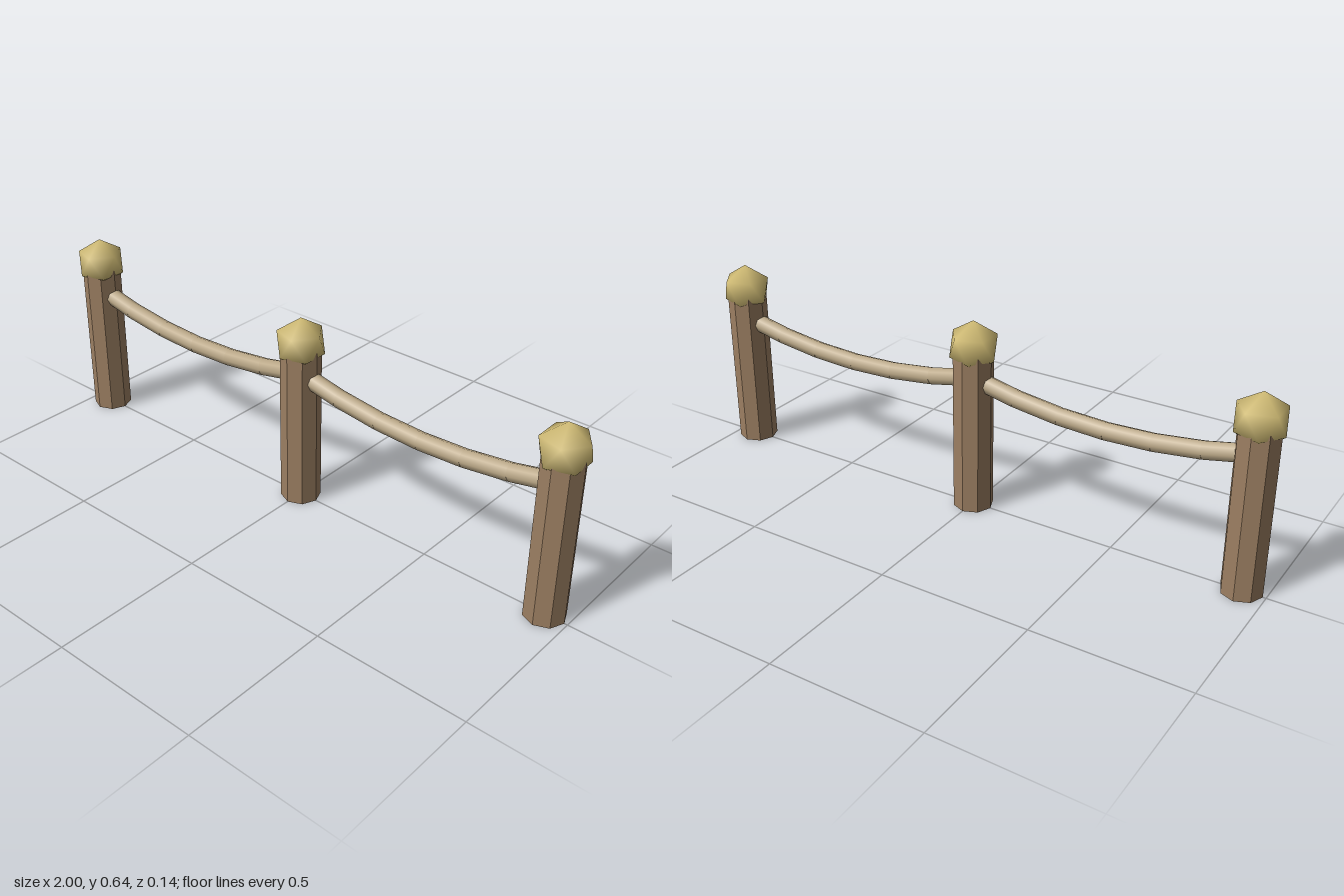
import * as THREE from 'three';
import { mergeVertices } from 'three/addons/utils/BufferGeometryUtils.js';

const SPACING = 0.925;

// Smooth-shaded icosahedron standing on one of its corners
function capGeometry(radius) {
  let geo = new THREE.IcosahedronGeometry(radius, 0);
  geo.rotateZ(-Math.atan(2 / (1 + Math.sqrt(5))));
  geo.deleteAttribute('normal');
  geo.deleteAttribute('uv');
  geo = mergeVertices(geo, 1e-4);
  geo.computeVertexNormals();
  return geo;
}

export function createModel() {
  const group = new THREE.Group();
  const wood = new THREE.MeshStandardMaterial({ color: 0x9c7f62, flatShading: true });
  const gold = new THREE.MeshStandardMaterial({ color: 0xd3be76 });
  const hemp = new THREE.MeshStandardMaterial({ color: 0xb9a685 });

  const add = (parent, name, geo, mat, x, y) => {
    const mesh = new THREE.Mesh(geo, mat);
    mesh.name = name;
    mesh.position.set(x, y, 0);
    parent.add(mesh);
    return mesh;
  };

  // Octagonal posts with faceted caps
  const postHeight = 0.555;
  const postGeo = new THREE.CylinderGeometry(0.065, 0.065, postHeight, 8);
  const capGeo = capGeometry(0.0835);
  ['right', 'middle', 'left'].forEach((side, i) => {
    const x = (i - 1) * SPACING;
    add(group, side + 'Post', postGeo, wood, x, postHeight / 2);
    add(group, side + 'PostCap', capGeo, gold, x, 0.557);
  });

  // Sagging ropes: six straight lengths from post centre to post centre
  const segments = 6;
  const sag = (t) => 0.391 + 0.058 * (2 * t - 1) ** 2;
  ['rightRope', 'leftRope'].forEach((name, i) => {
    const rope = new THREE.Group();
    rope.name = name;
    const x0 = (i - 1) * SPACING;
    for (let s = 0; s < segments; s++) {
      const t0 = s / segments, t1 = (s + 1) / segments;
      const a = new THREE.Vector2(x0 + SPACING * t0, sag(t0));
      const b = new THREE.Vector2(x0 + SPACING * t1, sag(t1));
      const geo = new THREE.CylinderGeometry(0.029, 0.029, a.distanceTo(b), 8);
      const part = add(rope, 'ropeLength', geo, hemp, (a.x + b.x) / 2, (a.y + b.y) / 2);
      part.rotation.z = Math.atan2(b.y - a.y, b.x - a.x) - Math.PI / 2;
    }
    group.add(rope);
  });

  return group;
}
